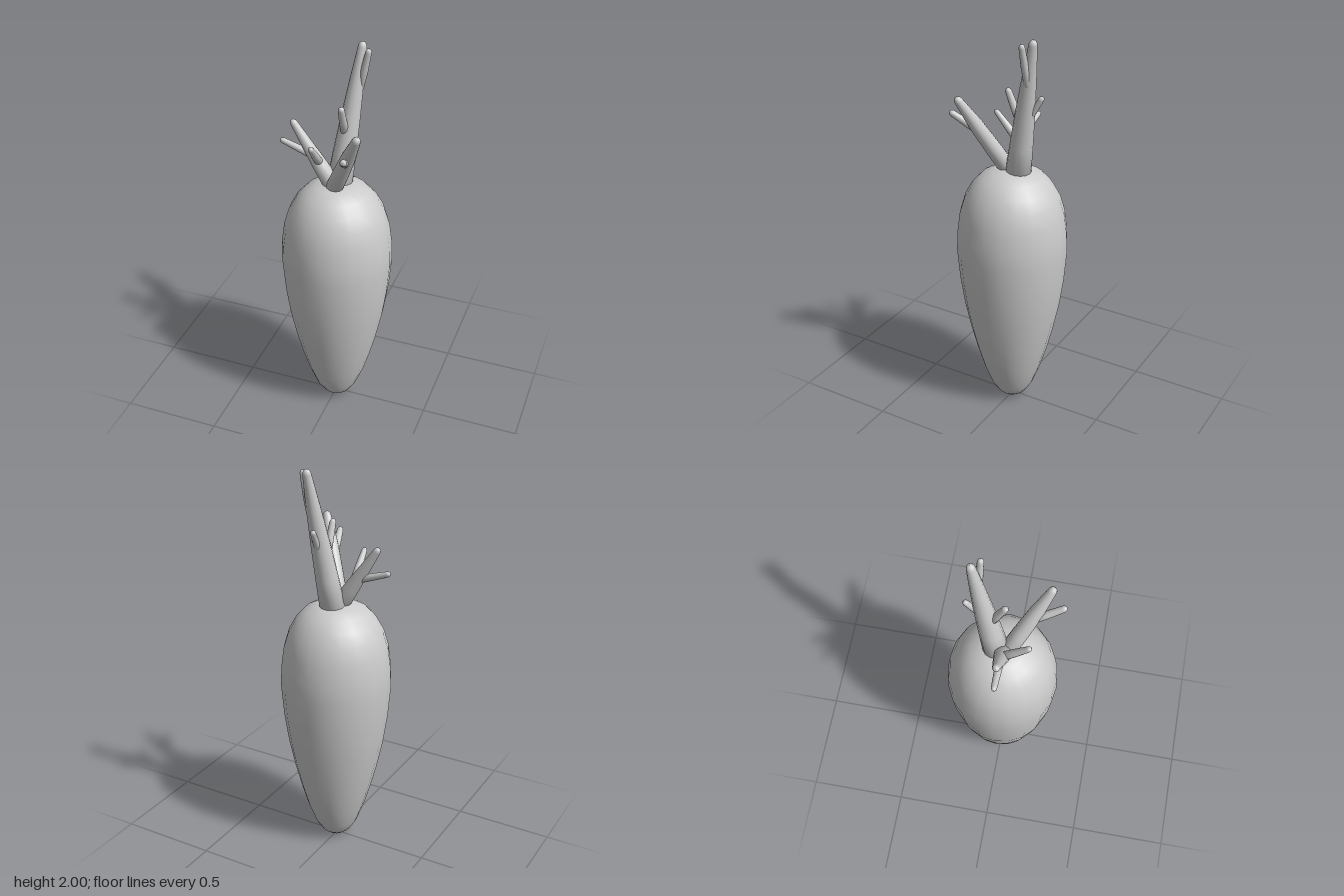
import * as THREE from 'three';

const material = new THREE.MeshStandardMaterial({ color: 0xcccccc });

// Straight tapering shoot with a rounded tip; radii are spread evenly from base to tip
function shoot(name, base, tip, radii) {
  const a = new THREE.Vector3(...base);
  const axis = new THREE.Vector3(...tip).sub(a);
  const length = axis.length();
  const end = radii[radii.length - 1];
  const body = length - end * 1.3;
  const profile = [new THREE.Vector2(0, 0)];
  radii.forEach((r, i) => profile.push(new THREE.Vector2(r, (body * i) / (radii.length - 1))));
  for (let i = 1; i <= 4; i++) {
    const angle = (i / 4) * Math.PI / 2;
    profile.push(new THREE.Vector2(i === 4 ? 0 : end * Math.cos(angle), body + end * 1.3 * Math.sin(angle)));
  }
  const mesh = new THREE.Mesh(new THREE.LatheGeometry(profile, 14), material);
  mesh.name = name;
  mesh.position.copy(a);
  mesh.quaternion.setFromUnitVectors(new THREE.Vector3(0, 1, 0), axis.normalize());
  return mesh;
}

export function createModel() {
  const model = new THREE.Group();
  model.name = 'rootVegetable';

  // Plump root, blunt at the bottom and domed at the top
  const outline = [
    [0, 0.005], [0.04, 0.012], [0.075, 0.04], [0.11, 0.095], [0.148, 0.195], [0.182, 0.31],
    [0.212, 0.43], [0.243, 0.58], [0.264, 0.73], [0.277, 0.89], [0.273, 0.99], [0.26, 1.09],
    [0.236, 1.17], [0.2, 1.235], [0.155, 1.285], [0.1, 1.313], [0.05, 1.323], [0, 1.325],
  ].map(([r, y]) => new THREE.Vector2(r, y));
  const root = new THREE.Mesh(new THREE.LatheGeometry(outline, 20), material);
  root.name = 'root';
  root.position.x = 0.005;
  model.add(root);

  // Tall main stem and its side shoots
  const mainStem = new THREE.Group();
  mainStem.name = 'mainStem';
  mainStem.add(
    shoot('mainStalk', [0.004, 1.29, -0.03], [0.076, 2, -0.15], [0.064, 0.056, 0.047, 0.035, 0.021]),
    shoot('mainTipShoot', [0.075, 1.78, -0.12], [0.118, 1.985, -0.112], [0.016, 0.018, 0.015]),
    shoot('mainBackShoot', [0.04, 1.56, -0.08], [0.03, 1.725, -0.176], [0.018, 0.016, 0.014]),
    shoot('mainFrontShoot', [0.025, 1.58, -0.05], [0.028, 1.735, 0.014], [0.02, 0.019, 0.016]),
  );

  // Stem leaning to the right with two shoots
  const rightStem = new THREE.Group();
  rightStem.name = 'rightStem';
  rightStem.add(
    shoot('rightStalk', [-0.005, 1.3, 0.008], [-0.218, 1.63, 0.01], [0.044, 0.038, 0.028, 0.018]),
    shoot('rightOuterShoot', [-0.12, 1.46, 0.01], [-0.28, 1.515, 0.01], [0.019, 0.017, 0.014]),
    shoot('rightFrontShoot', [-0.08, 1.43, 0.015], [-0.074, 1.57, 0.143], [0.021, 0.019, 0.014]),
  );

  // Stem leaning forward and to the left with one shoot
  const leftStem = new THREE.Group();
  leftStem.name = 'leftStem';
  leftStem.add(
    shoot('leftStalk', [-0.005, 1.3, 0.02], [0.176, 1.7, 0.203], [0.042, 0.04, 0.035, 0.021]),
    shoot('leftFrontShoot', [0.09, 1.515, 0.13], [0.133, 1.605, 0.27], [0.02, 0.019, 0.016]),
  );

  model.add(mainStem, rightStem, leftStem);
  return model;
}
